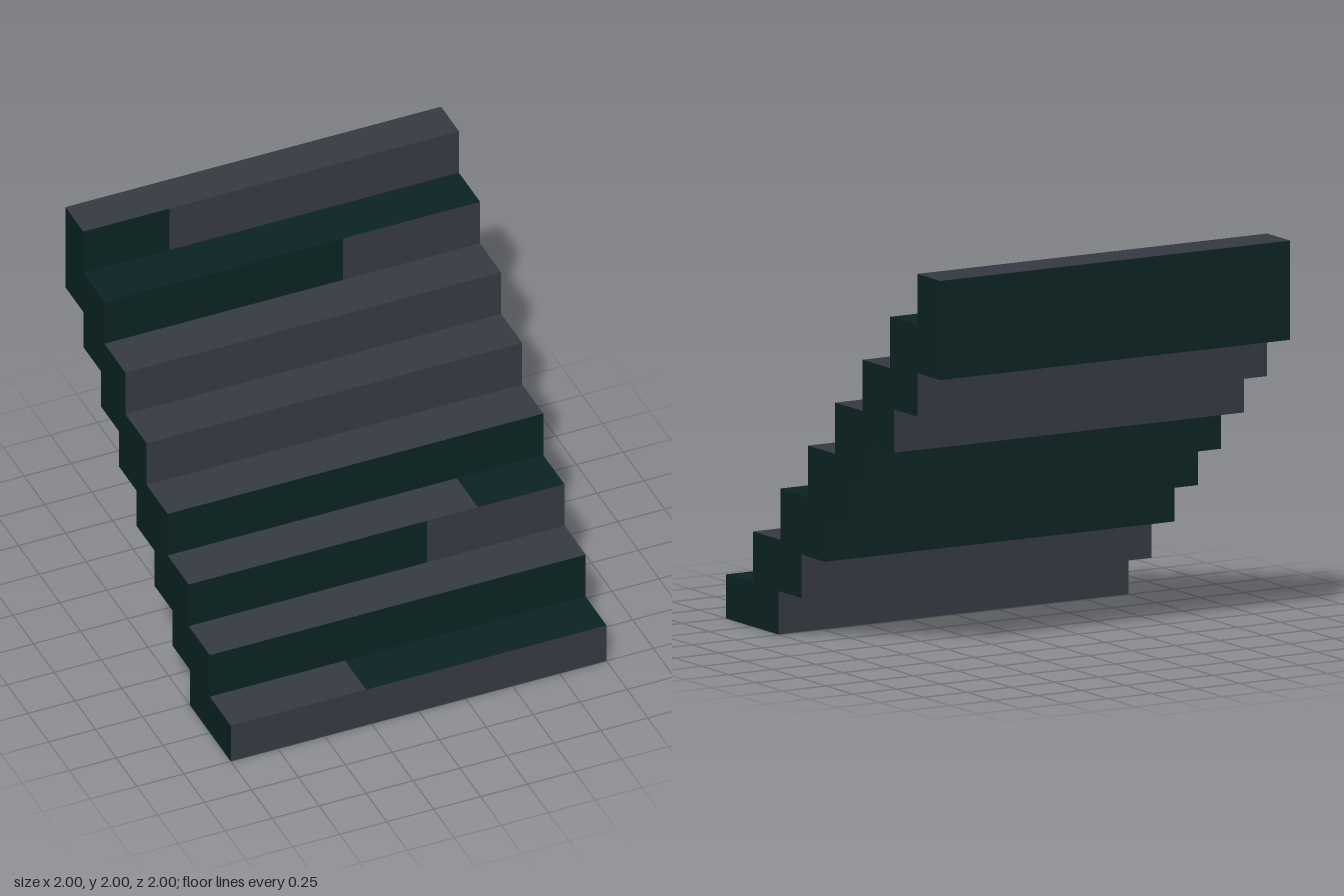
import * as THREE from 'three';

const grey = new THREE.MeshStandardMaterial({ color: 0x363a42 });
grey.name = 'slate grey';
const green = new THREE.MeshStandardMaterial({ color: 0x0c2424 });
green.name = 'dark green';

const STEPS = 8, RUN = 0.255, RISE = 0.2546, FIRST = 0.218, UNDER = 0.2154;

// Full-width band between two profile points [z, y], from x0 to x1
function band(group, name, material, a, b, x0, x1) {
  const g = new THREE.BufferGeometry();
  g.setAttribute('position', new THREE.Float32BufferAttribute([
    x0, a[1], a[0], x1, a[1], a[0], x1, b[1], b[0], x0, b[1], b[0],
  ], 3));
  g.setIndex([0, 1, 2, 0, 2, 3]);
  g.computeVertexNormals();
  const mesh = new THREE.Mesh(g, material);
  mesh.name = name;
  group.add(mesh);
}

// Colours along each face from -x to +x: [first, split x, second]
const G = [grey], D = [green];
const risers = [G, D, [green, 0.27, grey], D, G, G, [green, 0.27, grey], [green, -0.54, grey]];
const treads = [[grey, -0.28, green], G, [grey, 0.54, green], G, G, G, D, G];
const backs = [D, G, G, D, D, D, G, G];
const undersides = [D, G, G, [green, 0.27, grey], G, G, D, [green, 0.27, grey]];

export function createModel() {
  const model = new THREE.Group();
  model.name = 'staircase';

  // Stepped outline: up the front, then down the stepped underside
  const outline = [[1, 0]], faces = [];
  for (let i = 0; i < STEPS; i++) {
    const z = 1 - i * RUN, y = FIRST + i * RISE;
    const last = i === STEPS - 1;
    outline.push([z, last ? 2 : y], [last ? -1 : z - RUN, last ? 2 : y]);
    faces.push(['riser', risers[i]], ['tread', treads[i]]);
  }
  for (let i = 0; i < STEPS; i++) {
    const z = -1 + i * UNDER, y = (STEPS - 1 - i) * UNDER;
    outline.push([z, y]);
    faces.push(['back', backs[i]], ['underside', undersides[i]]);
    if (i < STEPS - 1) outline.push([z + UNDER, y]);
  }

  // Coloured bands, split where two colours meet
  faces.forEach(([name, [first, split, second]], i) => {
    const a = outline[i], b = outline[(i + 1) % outline.length];
    band(model, name, first, a, b, -1, split ?? 1);
    if (second) band(model, name, second, a, b, split, 1);
  });

  // Stepped side walls
  for (const s of [1, -1]) {
    const shape = new THREE.Shape(outline.map(([z, y]) => new THREE.Vector2(-s * z, y)));
    const g = new THREE.ShapeGeometry(shape);
    g.rotateY(s * Math.PI / 2);
    g.translate(s, 0, 0);
    const side = new THREE.Mesh(g, green);
    side.name = s > 0 ? 'leftSide' : 'rightSide';
    model.add(side);
  }
  return model;
}
